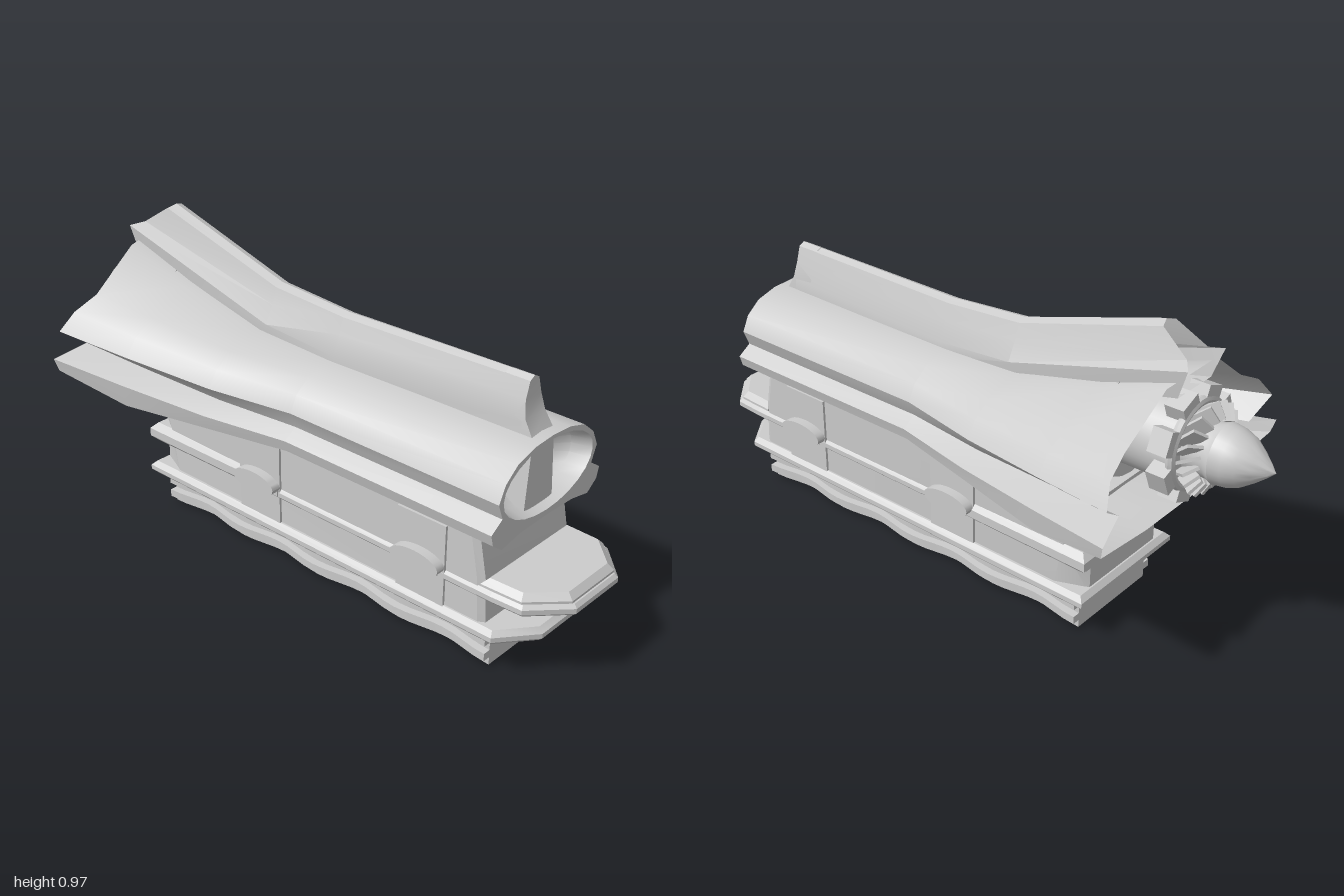
import * as THREE from 'three';
import { toCreasedNormals } from 'three/addons/utils/BufferGeometryUtils.js';

const material = new THREE.MeshStandardMaterial({ color: 0xcccccc, side: THREE.DoubleSide });
const lerp = THREE.MathUtils.lerp;

function add(parent, name, geometry, crease = 0.5) {
  const mesh = new THREE.Mesh(toCreasedNormals(geometry, crease), material);
  mesh.name = name;
  parent.add(mesh);
  return mesh;
}

// Skin over closed rings of [x, y, z] points with equal counts
function loft(rings) {
  const n = rings[0].length, index = [];
  for (let r = 0; r < rings.length - 1; r++) {
    for (let i = 0; i < n; i++) {
      const a = r * n + i, b = r * n + (i + 1) % n;
      index.push(a, b, a + n, b, b + n, a + n);
    }
  }
  const g = new THREE.BufferGeometry();
  g.setAttribute('position', new THREE.Float32BufferAttribute(rings.flat(2), 3));
  g.setIndex(index);
  return g;
}

// Complete a half profile (x >= 0) with its mirror image
function mirror(half) {
  const other = half.filter(p => p[0] > 1e-6).reverse().map(([x, ...rest]) => [-x, ...rest]);
  return [...half, ...other];
}

// Bevelled horizontal slab from a half outline of [x, z]
function slab(half, y0, y1, bevel) {
  const shape = new THREE.Shape(mirror(half).map(([x, z]) => new THREE.Vector2(x, -z)));
  const g = new THREE.ExtrudeGeometry(shape, {
    depth: y1 - y0 - 2 * bevel, bevelEnabled: bevel > 0, bevelThickness: bevel,
    bevelSize: bevel, bevelOffset: -bevel, bevelSegments: 1,
  });
  return g.rotateX(-Math.PI / 2).translate(0, y0 + bevel, 0);
}

function buildHood(group) {
  // Half profiles: arch, side groove, lower flange, belly
  const front = [[0, 0.67], [0.08, 0.665], [0.15, 0.645], [0.2, 0.605], [0.225, 0.555], [0.205, 0.505],
    [0.25, 0.475], [0.24, 0.44], [0.2, 0.41], [0.12, 0.425], [0, 0.428]];
  const rear = [[0, 0.86], [0.12, 0.84], [0.28, 0.72], [0.36, 0.68], [0.405, 0.62], [0.32, 0.56],
    [0.43, 0.53], [0.42, 0.49], [0.2, 0.46], [0.1, 0.46], [0, 0.46]];
  const rearZ = [-0.75, -0.73, -0.72, -0.735, -0.76, -0.74, -0.77, -0.76, -0.75, -0.75, -0.75];
  const section = (z, tx, ty, tBelly) => mirror(front.map(([x, y], i) => [
    lerp(x, rear[i][0], tx),
    i < 7 ? lerp(y, rear[i][1], ty) : lerp(y - 0.01 * tx, rear[i][1], tBelly),
    z ?? rearZ[i]]));
  add(group, 'hoodShell', loft([section(0.82, 0, 0, 0), section(0.08, 0, 0.03, 0),
    section(-0.2, 0.33, 0.12, 0), section(-0.5, 0.69, 0.55, 0), section(null, 1, 1, 1)]), 0.6);

  // Front frame around the oval intake
  const face = new THREE.Shape(mirror(front).map(([x, y]) => new THREE.Vector2(x, y)));
  face.holes.push(new THREE.Path().absellipse(0, 0.552, 0.205, 0.107, 0, Math.PI * 2, true));
  add(group, 'intakeFrame', new THREE.ShapeGeometry(face, 12).translate(0, 0, 0.82));
  const oval = (rx, ry, z) => Array.from({ length: 24 }, (_, i) => {
    const a = i / 24 * Math.PI * 2;
    return [rx * Math.cos(a), 0.552 + ry * Math.sin(a), z];
  });
  add(group, 'intakeBowl', loft([oval(0.205, 0.107, 0.82), oval(0.19, 0.1, 0.76),
    oval(0.12, 0.07, 0.7), oval(0.001, 0.001, 0.68)]), 0.7);

  // Post running down from the ridge through the intake
  const post = [[0.82, 0.002, 0.75], [0.81, 0.02, 0.75], [0.76, 0.035, 0.75], [0.71, 0.044, 0.76],
    [0.66, 0.048, 0.79], [0.45, 0.065, 0.79]];
  add(group, 'intakePost', loft(post.map(([y, w, z]) =>
    [[-w, y, z], [w, y, z], [w, y, z - 0.08], [-w, y, z - 0.08]])));

  // Tall central ridge, widening to the rear
  const f = [[0, 0.82], [0.02, 0.81], [0.035, 0.76], [0.045, 0.7], [0.05, 0.65]];
  const r = [[0, 0.97], [0.03, 0.96], [0.05, 0.9], [0.09, 0.89], [0.08, 0.8]];
  const rz = [-0.64, -0.65, -0.74, -0.77, -0.74];
  const ridge = (z, tx, ty) => mirror(f.map(([x, y], i) =>
    [lerp(x, r[i][0], tx), lerp(y, r[i][1], ty), z ?? rz[i]]));
  add(group, 'ridge', loft([ridge(0.75, 0, 0), ridge(0.1, 0.43, -0.06),
    ridge(-0.17, 0.61, 0.07), ridge(null, 1, 1)]));
}

function buildEngine(group) {
  const engine = new THREE.Group();
  engine.name = 'engine';
  engine.position.set(0, 0.64, 0);
  group.add(engine);

  // Pointed spinner
  const profile = [[0, 1], [0.018, 0.982], [0.045, 0.95], [0.07, 0.915], [0.083, 0.88], [0.088, 0.845], [0.08, 0.825], [0.08, 0.74]];
  add(engine, 'spinner', new THREE.LatheGeometry(profile.map(p => new THREE.Vector2(...p)), 28).rotateX(-Math.PI / 2));
  // Hub and collar
  add(engine, 'hub', new THREE.CylinderGeometry(0.125, 0.125, 0.25, 24).rotateX(Math.PI / 2).translate(0, 0, -0.635));
  add(engine, 'collar', new THREE.TorusGeometry(0.125, 0.014, 8, 32).translate(0, 0, -0.76));
  // Slanted vanes
  for (let i = 0; i < 20; i++) {
    const vane = add(engine, 'vane', new THREE.BoxGeometry(0.05, 0.009, 0.075)
      .rotateX(0.6).rotateY(-0.5).translate(0.098, 0, -0.79));
    vane.rotation.z = i / 20 * Math.PI * 2;
  }
  // Ring of blocks
  for (let i = 0; i < 8; i++) {
    const block = add(engine, 'ringBlock', new THREE.BoxGeometry(0.045, 0.07, 0.06).translate(0.142, 0, -0.74));
    block.rotation.z = (i + 0.5) / 8 * Math.PI * 2;
  }
  // Bulkhead closing the hood behind the engine
  add(engine, 'bulkhead', new THREE.CircleGeometry(0.17, 24).translate(0, 0, -0.56));
}

function buildBody(group) {
  // Main block with chamfered rear corners
  const ring = (y, zf, zc) => mirror([[0.19, zf], [0.202, zf - 0.02], [0.202, zc], [0.16, -0.55]])
    .map(([x, z]) => [x, y, z]);
  add(group, 'mainBlock', loft([ring(0.13, 0.78, -0.45), ring(0.29, 0.77, -0.48), ring(0.44, 0.74, -0.52)]));

  // Side panels and oval bosses
  for (const side of [1, -1]) {
    for (const z of [0.56, -0.07]) {
      add(group, 'sidePanel', new THREE.BoxGeometry(0.02, 0.26, 0.17).translate(side * 0.2, 0.28, z));
      const boss = new THREE.CylinderGeometry(1, 1, 0.06, 28).rotateZ(Math.PI / 2).scale(1, 0.035, 0.085);
      add(group, 'ovalBoss', boss.translate(side * 0.21, 0.278, z));
    }
  }

  // Upper and lower guard plates
  add(group, 'upperPlate', slab([[0.1, 1], [0.205, 0.9], [0.21, 0.8], [0.212, -0.57]], 0.235, 0.27, 0.01));
  add(group, 'upperPlateNose', slab([[0.1, 0.985], [0.195, 0.89], [0.2, 0.76]], 0.25, 0.295, 0.018));
  add(group, 'upperPlateRear', slab([[0.215, 0.01], [0.22, -0.57]], 0.228, 0.295, 0.02));
  add(group, 'lowerPlate', slab([[0.11, 0.91], [0.222, 0.82], [0.225, -0.57]], 0.11, 0.155, 0.015));

  // Stepped base layers with rippled sides
  const layers = [[0, 0.025, 0.165], [0.025, 0.05, 0.19], [0.05, 0.075, 0.165], [0.075, 0.1, 0.19], [0.1, 0.125, 0.165]];
  for (const [y0, y1, w] of layers) {
    const edge = Array.from({ length: 33 }, (_, i) =>
      [w - 0.01 + 0.01 * Math.cos(i / 32 * Math.PI * 8), 0.78 - 1.3 * i / 32]);
    add(group, 'baseLayer', slab(edge, y0, y1, 0));
  }
}

export function createModel() {
  const group = new THREE.Group();
  group.name = 'engineHousing';
  buildHood(group);
  buildEngine(group);
  buildBody(group);
  return group;
}
